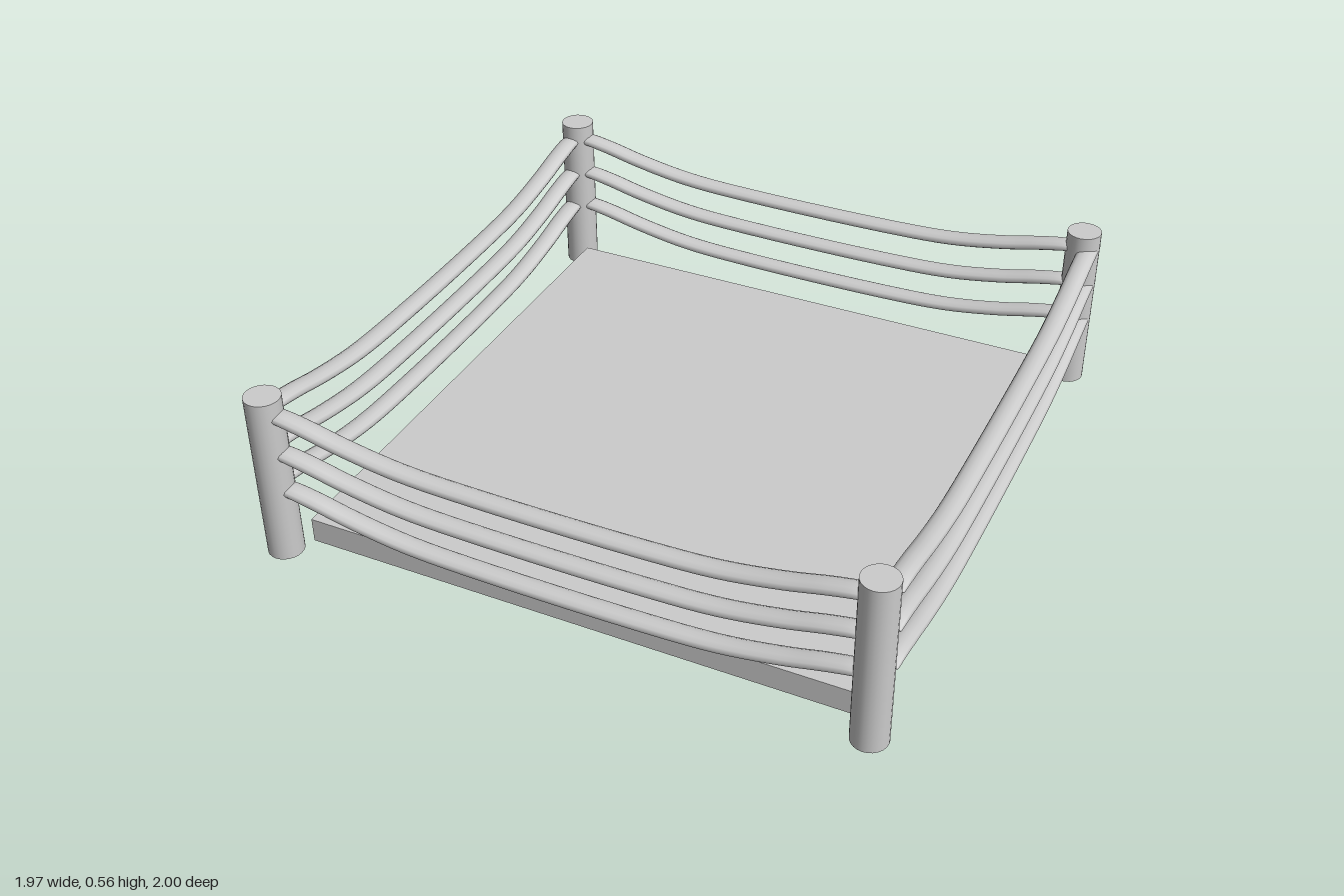
import * as THREE from 'three';
import { mergeVertices } from 'three/addons/utils/BufferGeometryUtils.js';

const material = new THREE.MeshStandardMaterial({ color: 0xcccccc, side: THREE.DoubleSide });

// Half of a sagging rope, end to middle: [distance along, lift, half height]
const half = [
  [0.94, 0.083, 0.005], [0.885, 0.083, 0.017], [0.8, 0.069, 0.02],
  [0.675, 0.041, 0.02], [0.49, 0.012, 0.02], [0.25, 0.001, 0.02],
];
const ropeCurve = new THREE.CatmullRomCurve3([
  ...half.map(([x, lift, h]) => new THREE.Vector3(-x, lift, h)),
  ...half.map(([x, lift, h]) => new THREE.Vector3(x, lift, h)).reverse(),
]);

// Oval rope along x, each ring of a cylinder moved to its place on the curve
function ropeGeometry() {
  const rings = 55;
  const stations = ropeCurve.getPoints(rings);
  let geometry = new THREE.CylinderGeometry(1, 1, rings, 12, rings);
  geometry.rotateZ(-Math.PI / 2);
  const p = geometry.attributes.position;
  for (let i = 0; i < p.count; i++) {
    const { x, y: lift, z: h } = stations[Math.round(p.getX(i) + rings / 2)];
    const halfWidth = 0.027 + 0.3 * h;
    p.setXYZ(i, x, lift + p.getY(i) * h, p.getZ(i) * halfWidth);
  }
  geometry.deleteAttribute('uv');
  geometry.deleteAttribute('normal');
  geometry = mergeVertices(geometry, 1e-5);
  geometry.computeVertexNormals();
  return geometry;
}

// Box shell without its underside
function openBoxGeometry(width, height, depth) {
  const geometry = new THREE.BoxGeometry(width, height, depth);
  const index = Array.from(geometry.index.array);
  index.splice(18, 6);
  geometry.setIndex(index);
  geometry.clearGroups();
  return geometry;
}

export function createModel() {
  const model = new THREE.Group();
  model.name = 'ropedRing';

  function add(name, geometry, x, y, z, parent = model) {
    const mesh = new THREE.Mesh(geometry, material);
    mesh.name = name;
    mesh.position.set(x, y, z);
    parent.add(mesh);
  }

  // Floor, hollow from below
  add('floor', openBoxGeometry(1.75, 0.08, 1.76), 0, 0.04, 0);

  // Corner posts
  const post = new THREE.CylinderGeometry(0.055, 0.055, 0.555, 24);
  for (const x of [-0.93, 0.928]) {
    for (const z of [-0.944, 0.944]) add('cornerPost', post, x, 0.2775, z);
  }

  // Three ropes on every side
  const rope = ropeGeometry();
  const sides = [
    ['frontRopes', 0, 0.942, 0],
    ['backRopes', 0, -0.94, 0],
    ['rightRopes', -0.936, 0, Math.PI / 2],
    ['leftRopes', 0.951, -0.035, Math.PI / 2],
  ];
  for (const [name, x, z, turn] of sides) {
    const group = new THREE.Group();
    group.name = name;
    group.position.set(x, 0, z);
    group.rotation.y = turn;
    for (const y of [0.152, 0.282, 0.412]) add('rope', rope, 0, y, 0, group);
    model.add(group);
  }
  return model;
}
